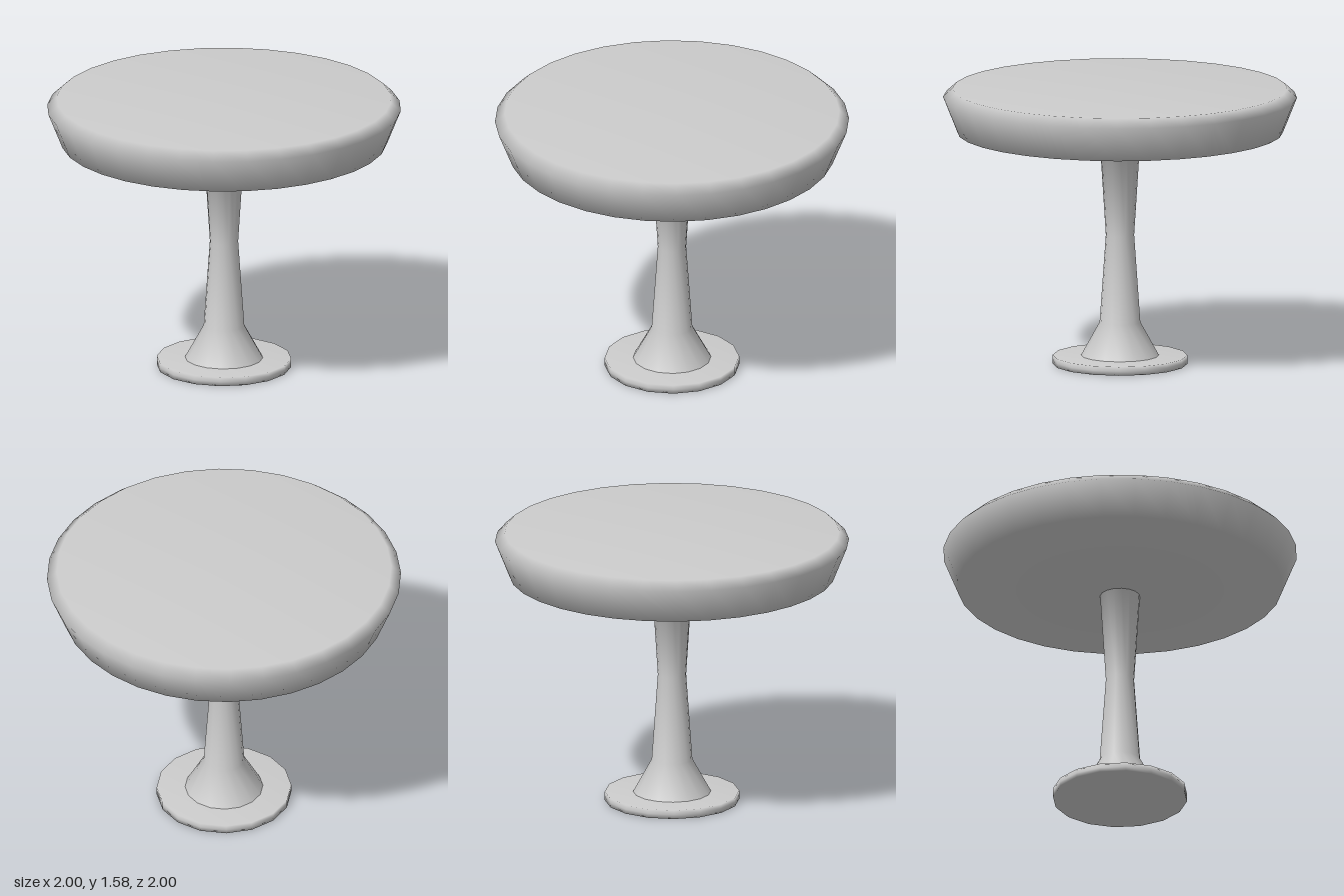
import * as THREE from 'three';
import { mergeVertices } from 'three/addons/utils/BufferGeometryUtils.js';

const material = new THREE.MeshStandardMaterial({ color: 0xcccccc });

// Turned part with welded, area-weighted smooth normals; profile runs bottom to top
function turned(name, profile, sides) {
  const lathe = new THREE.LatheGeometry(profile.map(([r, y]) => new THREE.Vector2(r, y)), sides);
  lathe.deleteAttribute('normal');
  lathe.deleteAttribute('uv');
  const geometry = mergeVertices(lathe, 1e-4);
  geometry.computeVertexNormals();
  const mesh = new THREE.Mesh(geometry, material);
  mesh.name = name;
  return mesh;
}

export function createModel() {
  const table = new THREE.Group();
  table.name = 'pedestalTable';

  // Thin round foot plate
  table.add(turned('footPlate', [
    [0, 0], [0.38, 0], [0.38, 0.025], [0.38, 0.05], [0, 0.05],
  ], 16));

  // Waisted stem, its top flare tucked inside the tabletop
  table.add(turned('stem', [
    [0.22, 0.05], [0.115, 0.24], [0.08, 0.74], [0.113, 1.26], [0.3, 1.282],
  ], 16));

  // Tabletop with sloping underside, flared side and bevelled rim
  table.add(turned('tabletop', [
    [0, 1.25], [0.113, 1.26], [0.92, 1.33], [1, 1.53], [0.945, 1.58], [0, 1.58],
  ], 32));

  return table;
}
